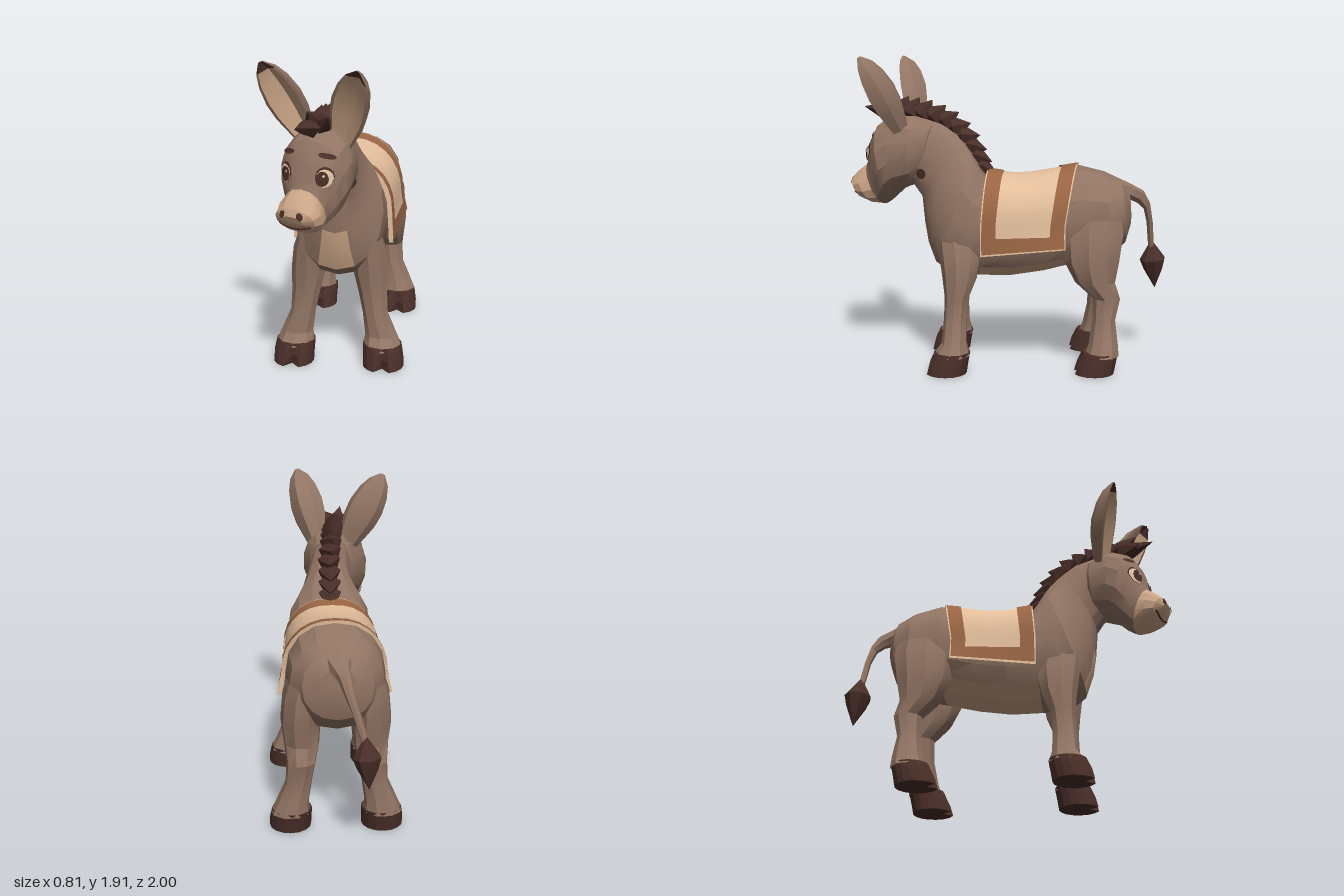
import * as THREE from 'three';
import { toCreasedNormals } from 'three/addons/utils/BufferGeometryUtils.js';

const V = (x, y, z) => new THREE.Vector3(x, y, z);
const mat = (name, color, side = THREE.FrontSide) => {
  const m = new THREE.MeshStandardMaterial({ color, side });
  m.name = name;
  return m;
};

// Skins rows of points; pick(i, j) gives the material index of each cell.
function loft(rows, { closed = true, pick = () => 0, crease = 0.4 } = {}) {
  const buckets = [];
  const add = (k, ...pts) => (buckets[k] ??= []).push(...pts);
  const n = rows[0].length, cols = closed ? n : n - 1;
  for (let i = 0; i < rows.length - 1; i++) for (let j = 0; j < cols; j++) {
    const q = (j + 1) % n, k = pick(i, j);
    const a = rows[i][j], b = rows[i][q], c = rows[i + 1][q], d = rows[i + 1][j];
    add(k, a, d, c, a, c, b);
  }
  if (closed) for (const e of [0, rows.length - 1]) {
    const r = rows[e], mid = r.reduce((s, p) => s.add(p), V(0, 0, 0)).divideScalar(n);
    r.forEach((p, j) => {
      const q = r[(j + 1) % n], k = pick(e ? e - 1 : 0, j);
      e ? add(k, mid, q, p) : add(k, mid, p, q);
    });
  }
  // Turn the faces outward when the rows wind the other way
  let volume = 0;
  for (const t of buckets) for (let i = 0; t && i < t.length; i += 3) volume += t[i].dot(V(0, 0, 0).crossVectors(t[i + 1], t[i + 2]));
  const all = [], geo = new THREE.BufferGeometry();
  buckets.forEach((t, k) => {
    if (closed && volume < 0) for (let i = 0; i < t.length; i += 3) [t[i + 1], t[i + 2]] = [t[i + 2], t[i + 1]];
    geo.addGroup(all.length, t.length, k);
    all.push(...t);
  });
  geo.setFromPoints(all);
  geo.computeVertexNormals();
  return toCreasedNormals(geo, crease);
}

// Oval section between a top and a bottom point on the centre plane.
const section = n => ([zt, yt, zb, yb, w, x = 0]) => Array.from({ length: n }, (_, j) => {
  const a = j / n * Math.PI * 2, soft = t => Math.sign(t) * Math.abs(t) ** 0.92;
  const f = (1 - soft(Math.cos(a))) / 2;
  return V(x + w * soft(Math.sin(a)), yt + (yb - yt) * f, zt + (zb - zt) * f);
});

// Level ring; notch pulls in the foremost corner.
const ring = (n, notch = 1) => ([y, x, z, rx, rz]) => Array.from({ length: n }, (_, j) => {
  const a = j / n * Math.PI * 2;
  return V(x + rx * Math.sin(a), y, z + rz * Math.cos(a) * (j ? 1 : notch));
});

export function createModel() {
  const root = new THREE.Group();
  root.name = 'donkey';
  const coat = mat('coat brown', 0x927564), pale = mat('pale tan', 0xcaa485);
  const dark = mat('dark brown', 0x4a2f29, THREE.DoubleSide);
  const cloth = mat('cloth tan', 0xe2bd9b, THREE.DoubleSide);
  const border = mat('border brown', 0x996544, THREE.DoubleSide);
  const cream = mat('eye cream', 0xe2c6a4, THREE.DoubleSide);
  const put = (name, geo, material, parent = root) => {
    const m = new THREE.Mesh(geo, material);
    m.name = name;
    parent.add(m);
    return m;
  };

  // Trunk and neck, with a pale belly and chest
  const trunk = [
    [-0.735, 1.08, -0.745, 0.87, 0.1], [-0.68, 1.155, -0.71, 0.76, 0.205], [-0.58, 1.205, -0.6, 0.66, 0.275],
    [-0.42, 1.245, -0.4, 0.63, 0.295], [-0.2, 1.195, -0.2, 0.58, 0.285], [0, 1.175, 0, 0.55, 0.28],
    [0.15, 1.19, 0.2, 0.55, 0.265], [0.18, 1.24, 0.38, 0.57, 0.272], [0.22, 1.31, 0.47, 0.635, 0.265],
    [0.25, 1.36, 0.515, 0.76, 0.215], [0.28, 1.4, 0.535, 0.885, 0.175], [0.33, 1.45, 0.55, 1.05, 0.145],
    [0.42, 1.51, 0.6, 1.12, 0.135, -0.015], [0.55, 1.55, 0.66, 1.14, 0.13, -0.03]];
  const isBelly = (i, j) => i > 2 && i < 6 && j > 5 && j < 10;
  const isChest = (i, j) => (i === 8 || i === 9) && (j === 7 || j === 8);
  const body = put('body', loft(trunk.map(section(16)), {
    pick: (i, j) => isBelly(i, j) || isChest(i, j) ? 1 : 0 }), [coat, pale]);

  // Legs and cloven hooves
  const legs = {
    front: [[0.11, 0.27, 0.36, 0.122, 0.115], [0.18, 0.26, 0.345, 0.1, 0.078], [0.32, 0.222, 0.34, 0.078, 0.07],
      [0.45, 0.205, 0.33, 0.088, 0.075], [0.58, 0.19, 0.31, 0.108, 0.11], [0.72, 0.185, 0.31, 0.098, 0.13], [0.85, 0.17, 0.33, 0.07, 0.12]],
    hind: [[0.11, 0.275, -0.555, 0.12, 0.105], [0.18, 0.265, -0.565, 0.1, 0.09], [0.32, 0.225, -0.57, 0.08, 0.07],
      [0.45, 0.21, -0.585, 0.088, 0.085], [0.55, 0.205, -0.515, 0.108, 0.125], [0.68, 0.21, -0.495, 0.12, 0.17],
      [0.85, 0.2, -0.5, 0.115, 0.19], [1, 0.17, -0.5, 0.1, 0.17]] };
  const hooves = { front: [0.395, 0.36], hind: [-0.505, -0.545] };
  for (const s of [1, -1]) for (const k of ['front', 'hind']) {
    const side = ([y, x, z, rx, rz]) => [y, x * s, z, rx, rz];
    put(k + 'Leg', loft(legs[k].map(side).map(ring(9))), coat);
    const [low, high] = hooves[k];
    put(k + 'Hoof', loft([ring(16, 0.5)(side([0, 0.277, low, 0.125, 0.125])),
      ring(16, 0.7)(side([0.06, 0.275, (low + high) / 2 + 0.005, 0.125, 0.122])),
      ring(16, 0.95)(side([0.13, 0.267, high, 0.12, 0.112]))], { crease: 0.3 }), dark);
  }

  // Spindle used for hair
  const spike = (name, from, to, r, peak = 0.35, sides = 5) => {
    const d = to.clone().sub(from), len = d.length();
    const g = new THREE.LatheGeometry([[0, 0], [r, len * peak], [r * 0.75, len * (peak + 0.2)], [0, len]]
      .map(p => new THREE.Vector2(...p)), sides);
    const m = put(name, toCreasedNormals(g, 0.2), dark);
    m.quaternion.setFromUnitVectors(V(0, 1, 0), d.normalize());
    m.position.copy(from);
  };

  // Tail
  put('tail', loft([[-0.6, 1.195, -0.66, 1, 0.12], [-0.74, 1.13, -0.73, 1.03, 0.06, -0.005],
    [-0.83, 1.08, -0.79, 1, 0.038, -0.03], [-0.875, 1, -0.835, 0.96, 0.03, -0.05],
    [-0.9, 0.87, -0.86, 0.87, 0.025, -0.09], [-0.918, 0.7, -0.88, 0.7, 0.022, -0.14]].map(section(7))), coat);
  spike('tailTuft', V(-0.14, 0.75, -0.9), V(-0.16, 0.43, -0.93), 0.083, 0.4, 7);

  // Mane along the neck, then the forelock
  const crest = new THREE.CatmullRomCurve3([V(0, 1.24, 0.22), V(0, 1.32, 0.26), V(0, 1.4, 0.31),
    V(-0.015, 1.48, 0.4), V(-0.03, 1.53, 0.53), V(-0.06, 1.55, 0.7)]);
  for (let k = 0; k < 10; k++) {
    const p = crest.getPointAt(k / 9), t = crest.getTangentAt(k / 9);
    const d = V(0, t.z, -t.y).multiplyScalar(0.1 + 0.003 * k).addScaledVector(t, -0.1 + 0.005 * k);
    spike('maneTuft', p.clone().addScaledVector(d, -0.35), p.clone().add(d), 0.075, 0.4);
  }
  for (const [x, y, z] of [[-0.145, 1.6, 0.92], [-0.1, 1.67, 0.82], [0.01, 1.64, 0.82], [-0.17, 1.57, 0.83]])
    spike('forelock', V(-0.06, 1.55, 0.67), V(x, y, z), 0.06);

  // Saddle cloth: u runs across the back, v from front to rear
  const drape = (u, v, off) => {
    const s = Math.min(1, Math.abs(u) / 0.7), hang = Math.max(0, (Math.abs(u) - 0.7) / 0.3);
    const z = THREE.MathUtils.lerp(0.14 + 0.045 * s, -0.42 + 0.095 * s, v);
    const h = 0.297 + Math.max(0, -0.1 - z) * 0.17 + Math.max(0, z) * 0.15 + off, a = s * Math.PI / 2;
    const x = (0.29 + 0.02 * v + off) * Math.sin(a) ** 0.92 + (0.01 + 0.02 * v) * hang;
    return V(x * Math.sign(u), 0.9 + h * Math.max(0, Math.cos(a)) ** 0.92 - (0.18 - 0.05 * v) * hang, z);
  };
  const strip = (u0, u1, v, off) => {
    const n = Math.ceil((u1 - u0) * 10);
    return Array.from({ length: n + 1 }, (_, j) => drape(u0 + (u1 - u0) * j / n, v, off));
  };
  const sheet = (name, u0, u1, v0, v1, off, m) => {
    const n = Math.ceil((v1 - v0) * 6);
    put(name, loft(Array.from({ length: n + 1 }, (_, i) => strip(u0, u1, v1 + (v0 - v1) * i / n, off)), { closed: false }), m);
  };
  sheet('saddleCloth', -1, 1, 0, 1, 0, cloth);
  for (const v of [0, 1]) put('clothEdge', loft([strip(-1, 1, v, 0.009), strip(-1, 1, v, -0.018)], { closed: false }), cloth);
  sheet('clothFrontBorder', -0.98, 0.98, 0.015, 0.18, 0.009, border);
  sheet('clothRearBorder', -0.98, 0.98, 0.82, 0.985, 0.009, border);
  sheet('clothSideBorder', 0.82, 0.98, 0.18, 0.82, 0.009, border);
  sheet('clothSideBorder', -0.98, -0.82, 0.18, 0.82, 0.009, border);

  // Head, turned a little to its right
  const head = new THREE.Group();
  head.name = 'head';
  const skull = put('skull', loft([
    [-0.14, 0.2, -0.1, -0.1, 0.1], [-0.04, 0.25, -0.02, -0.17, 0.175], [0.1, 0.26, 0.08, -0.21, 0.207],
    [0.205, 0.21, 0.12, -0.25, 0.207], [0.265, 0.11, 0.15, -0.28, 0.177], [0.285, 0, 0.18, -0.3, 0.137],
    [0.305, -0.045, 0.2, -0.31, 0.125], [0.36, -0.09, 0.26, -0.305, 0.137], [0.4, -0.13, 0.33, -0.28, 0.122],
    [0.415, -0.17, 0.385, -0.23, 0.065]].map(section(14)), { pick: i => i > 5 ? 1 : 0 }), [coat, pale], head);

  // Ears: deep cupped leaves with a pale lining and dark tips
  const leaf = [[-0.12, 0.06], [0.1, 0.088], [0.3, 0.112], [0.5, 0.118], [0.72, 0.1], [0.88, 0.068], [1, 0.015]];
  const cup = [[-1, 0], [-0.7, -0.65], [0, -1.05], [0.7, -0.65], [1, 0], [0.82, 0.04], [0, -0.5], [-0.82, 0.04]];
  for (const s of [1, -1]) {
    const base = V(0.115, 0.19, 0.06), axis = V(0.185, 0.415, 0.155);
    const up = axis.clone().normalize(), front = V(0, 0, 1);
    front.addScaledVector(up, -front.dot(up)).normalize();
    const across = V(0, 0, 0).crossVectors(up, front);
    const rows = leaf.map(([t, w]) => cup.map(([a, b]) => {
      const p = base.clone().addScaledVector(axis, t).addScaledVector(across, a * w).addScaledVector(front, b * w);
      p.x *= s;
      return p;
    }));
    put('ear', loft(rows, { pick: (i, j) => j < 4 ? 0 : i > 4 ? 2 : j === 5 || j === 6 ? 1 : 0 }), [coat, pale, dark], head);
  }

  // Thin painted patches, laid on a surface by casting rays along z or x
  const caster = new THREE.Raycaster();
  const lay = (targets, axis, u, v, off) => {
    const o = axis === 'z' ? V(u, v, 3) : V(3, v, u);
    caster.set(o, axis === 'z' ? V(0, 0, -1) : V(-1, 0, 0));
    const hit = caster.intersectObjects(targets, true)[0];
    const p = hit ? hit.point : o.setComponent(axis === 'z' ? 2 : 0, 0);
    p[axis] += off;
    return p;
  };
  const patch = (name, parent, targets, axis, [cu, cv, ru, rv, tilt = 0], off, m) => {
    const rows = [0.001, 0.5, 1].map(f => Array.from({ length: 13 }, (_, j) => {
      const a = j / 12 * Math.PI * 2, x = f * ru * Math.cos(a), y = f * rv * Math.sin(a);
      return lay(targets, axis, cu + x * Math.cos(tilt) - y * Math.sin(tilt), cv + x * Math.sin(tilt) + y * Math.cos(tilt), off);
    }));
    put(name, loft(rows, { closed: false }), m, parent);
  };
  head.updateMatrixWorld(true);
  for (const s of [1, -1]) {
    const face = (name, spec, off, m) => patch(name, head, [skull], 'z', spec, off, m);
    face('eyeRim', [s * 0.12, 0.026, 0.046, 0.056], 0.005, dark);
    face('eyeWhite', [s * 0.122, 0.02, 0.043, 0.05], 0.01, cream);
    face('iris', [s * 0.115, 0.018, 0.034, 0.042], 0.015, dark);
    face('eyeGlint', [s * 0.115 + 0.01, 0.036, 0.007, 0.008], 0.02, cream);
    face('brow', [s * 0.12, 0.135, 0.047, 0.014, -s * 0.2], 0.009, dark);
    face('nostril', [s * 0.055, -0.165, 0.017, 0.023, s * 0.5], 0.006, dark);
  }
  // Mouth line
  const lip = Array.from({ length: 9 }, (_, i) => {
    const x = (i - 4) * 0.025;
    return lay([skull], 'z', x, -0.25 + x * x * 2.2, 0.002);
  });
  put('mouth', new THREE.TubeGeometry(new THREE.CatmullRomCurve3(lip), 16, 0.006, 5), dark, head);

  head.position.set(-0.02, 1.3, 0.6);
  head.rotation.y = -0.36;
  root.add(head);
  root.updateMatrixWorld(true);
  patch('cheekSpot', root, [body, skull], 'x', [0.55, 1.2, 0.03, 0.033], 0.008, dark);
  return root;
}
